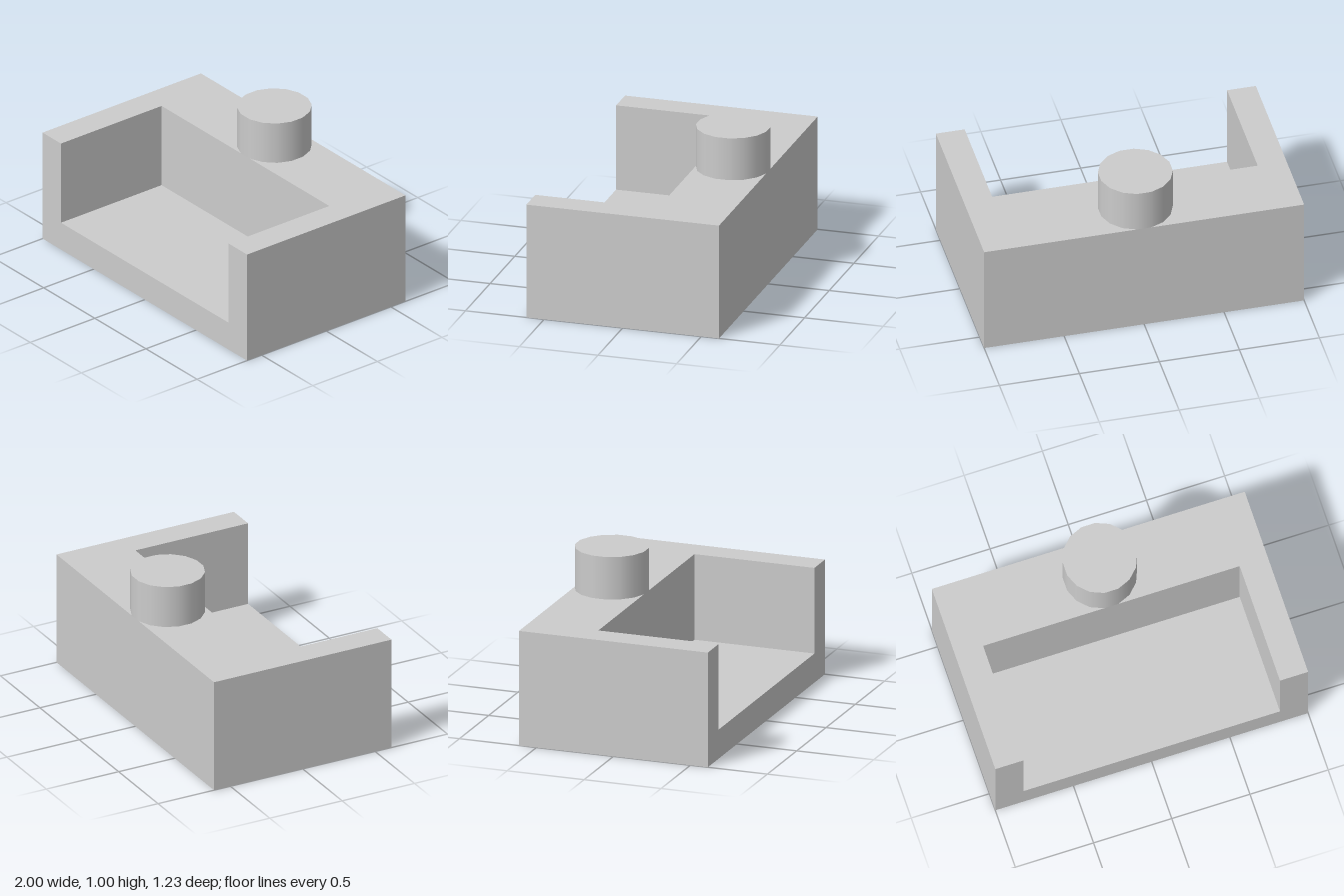
import * as THREE from 'three';

export function createModel() {
  const model = new THREE.Group();
  const grey = new THREE.MeshStandardMaterial({ color: 0xcccccc });
  grey.name = 'light grey';

  const halfWidth = 1, halfDepth = 0.613, height = 0.73;
  const innerHalf = 0.82, floorY = 0.185, innerZ = -0.166;

  function add(name, geometry, x, y, z) {
    const mesh = new THREE.Mesh(geometry, grey);
    mesh.name = name;
    mesh.position.set(x, y, z);
    model.add(mesh);
  }

  // Floor and two side walls: a U outline run from the back wall to the front
  const outline = new THREE.Shape([
    [-halfWidth, 0], [halfWidth, 0], [halfWidth, height], [innerHalf, height],
    [innerHalf, floorY], [-innerHalf, floorY], [-innerHalf, height], [-halfWidth, height],
  ].map(([x, y]) => new THREE.Vector2(x, y)));
  add('floorAndSideWalls',
    new THREE.ExtrudeGeometry(outline, { depth: halfDepth - innerZ, bevelEnabled: false }),
    0, 0, innerZ);

  // Thick back wall
  const wallDepth = innerZ + halfDepth;
  const wallZ = (innerZ - halfDepth) / 2;
  add('backWall', new THREE.BoxGeometry(2 * halfWidth, height, wallDepth), 0, height / 2, wallZ);

  // Sixteen-sided post, its flats flush with both faces of the back wall
  const sides = 16, postHeight = 1 - height;
  const radius = wallDepth / 2 / Math.cos(Math.PI / sides);
  add('post',
    new THREE.CylinderGeometry(radius, radius, postHeight, sides, 1, false, Math.PI / sides),
    0, height + postHeight / 2, wallZ);

  return model;
}
